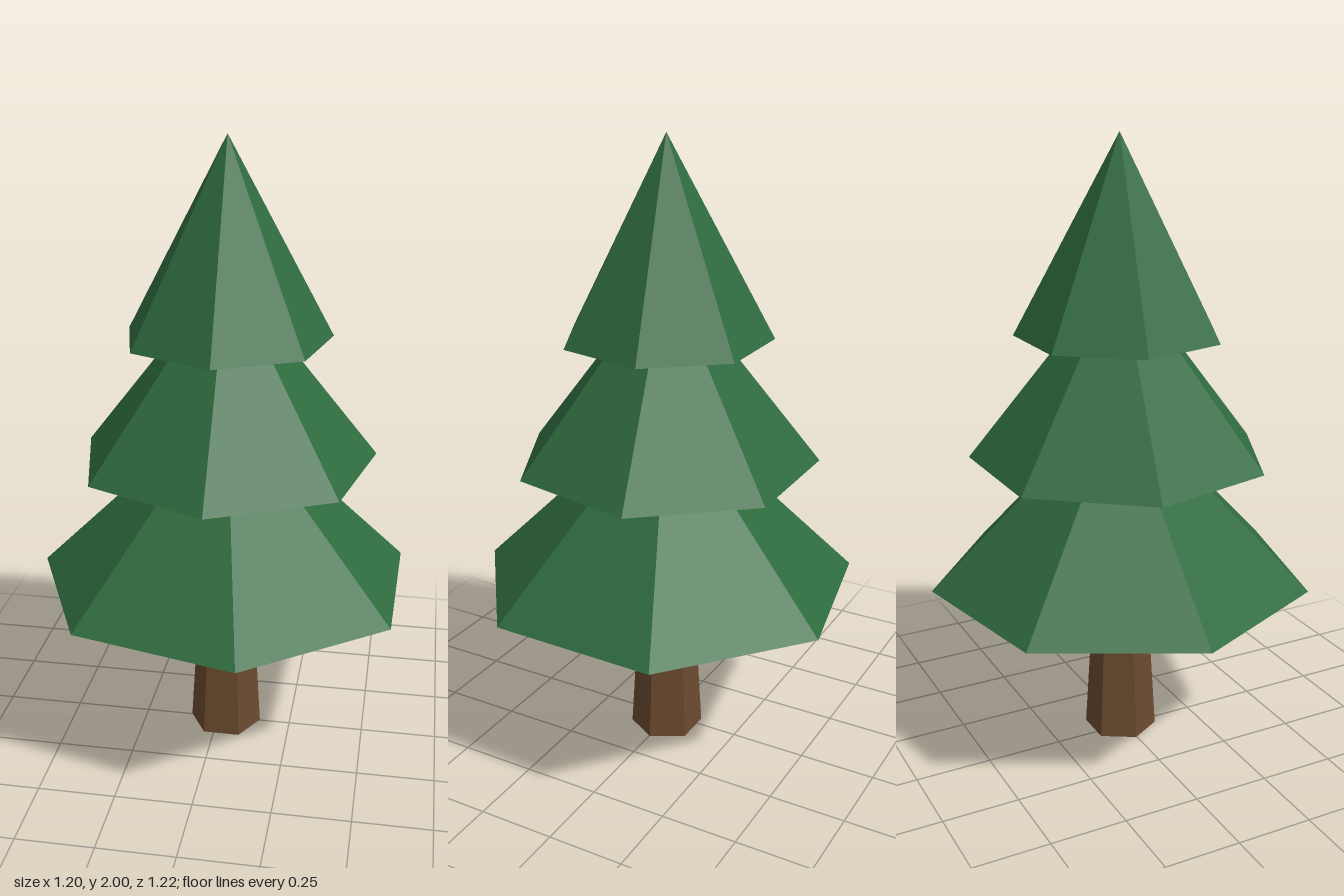
import * as THREE from 'three';

export function createModel() {
  const tree = new THREE.Group();
  tree.name = 'pineTree';

  const needles = new THREE.MeshStandardMaterial({ color: 0x2f6b3f, flatShading: true });
  needles.name = 'needle green';
  const bark = new THREE.MeshStandardMaterial({ color: 0x6b4a2f, flatShading: true });
  bark.name = 'bark brown';

  // All parts share one vertical axis, slightly off centre so the uneven skirt is centred
  const add = (name, geometry, material, baseY, height, turn) => {
    const mesh = new THREE.Mesh(geometry, material);
    mesh.name = name;
    mesh.position.set(0.027, baseY + height / 2, -0.003);
    mesh.rotation.y = turn;
    tree.add(mesh);
  };

  // Tapered six-sided trunk, corners pointing left and right
  add('trunk', new THREE.CylinderGeometry(0.084, 0.12, 0.6, 6), bark, 0, 0.6, Math.PI / 2);

  // Three stacked seven-sided cones of equal height
  const tierHeight = 0.62;
  const tiers = [
    ['lowerBranches', 0.626, 0.56, 0.2],
    ['middleBranches', 0.488, 0.98, 0.014],
    ['upperBranches', 0.335, 1.38, 0.012],
  ];
  for (const [name, radius, baseY, turn] of tiers) {
    add(name, new THREE.ConeGeometry(radius, tierHeight, 7), needles, baseY, tierHeight, turn);
  }

  return tree;
}
